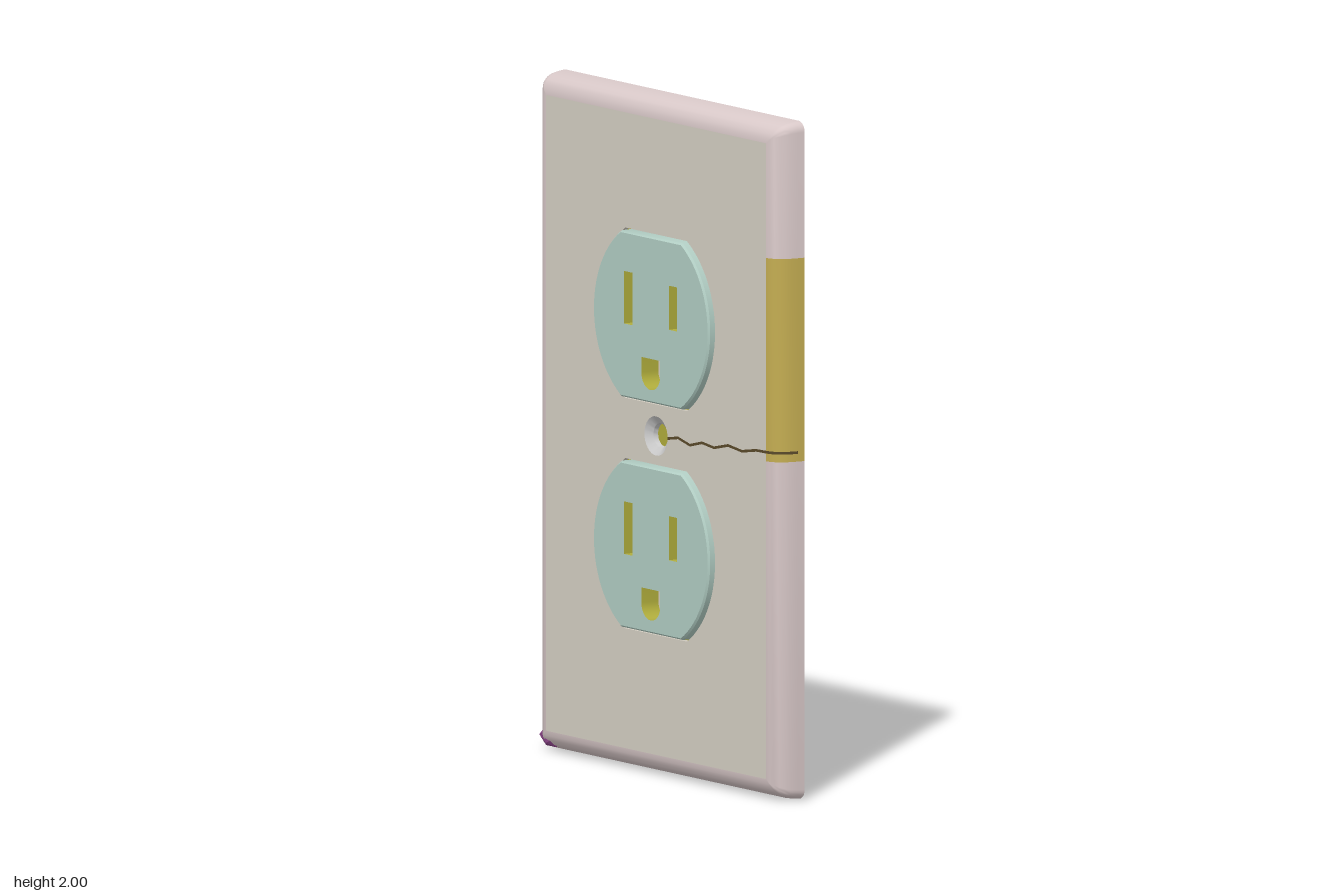
import * as THREE from 'three';
import { toCreasedNormals } from 'three/addons/utils/BufferGeometryUtils.js';

const FRONT = 0.037, BACK = -0.057, FLOOR = 0.02, FACE = 0.056, POCKET = -0.005;
// Outer edge of the plate: [inset, z] from the back rim to the flat front
const EDGE = [[0, BACK], [0.002, -0.035], [0.006, -0.012], [0.012, 0.004], [0.021, 0.018],
  [0.034, 0.029], [0.048, 0.035], [0.062, FRONT]];

const mat = (color) => new THREE.MeshStandardMaterial({ color, side: THREE.DoubleSide });
const beige = mat(0xd6d0c4), pink = mat(0xd8c8c8), mint = mat(0xb2cec4), olive = mat(0xb0ad3c);
const yellow = mat(0xc4ad52), dark = mat(0x5a4a2a), purple = mat(0x8a4488), grey = mat(0xcccccc);

function add(parent, name, geometry, material) {
  const mesh = new THREE.Mesh(geometry, material);
  mesh.name = name;
  parent.add(mesh);
  return mesh;
}

// Skin over rows of points
function loft(rows, closed = true, crease = 0.6) {
  const n = rows[0].length, index = [];
  for (let i = 0; i < rows.length - 1; i++) {
    for (let j = 0; j < (closed ? n : n - 1); j++) {
      const a = i * n + j, b = i * n + (j + 1) % n;
      index.push(a, b, b + n, a, b + n, a + n);
    }
  }
  const g = new THREE.BufferGeometry();
  g.setAttribute('position', new THREE.Float32BufferAttribute(rows.flat(2), 3));
  g.setIndex(index);
  return toCreasedNormals(g, crease);
}

const at = (points, z) => points.map(([x, y]) => [x, y, z]);
const flat = (outline, holes, z) => {
  const toV = (pts) => pts.map(([x, y]) => new THREE.Vector2(x, y));
  const shape = new THREE.Shape(toV(outline));
  shape.holes = holes.map((h) => new THREE.Path(toV(h)));
  return new THREE.ShapeGeometry(shape).translate(0, 0, z);
};

// Arc points, anticlockwise
function arc(cx, cy, r, a0, a1, n) {
  return Array.from({ length: n + 1 }, (_, i) => {
    const a = a0 + (a1 - a0) * i / n;
    return [cx + r * Math.cos(a), cy + r * Math.sin(a)];
  });
}

// Plate outline moved inwards by d
function plateOutline(d) {
  const r = Math.max(0.03 - d * 0.5, 0.004), w = 0.61 - d - r, h = 1 - d - r, q = Math.PI / 2;
  return [[1, 1], [-1, 1], [-1, -1], [1, -1]].flatMap(([sx, sy], k) =>
    arc(sx * w, 1 + sy * h, r, k * q, (k + 1) * q, 6));
}

// Round outline with flat top and bottom
function faceOutline(cy, grow) {
  const r = 0.288 + grow, a = Math.asin((0.245 + grow) / r);
  return [...arc(0, cy, r, -a, a, 28), ...arc(0, cy, r, Math.PI - a, Math.PI + a, 28)];
}

const rect = (cx, cy, w, h) => [[-1, -1], [1, -1], [1, 1], [-1, 1]].map(([x, y]) =>
  [cx + x * w / 2, cy + y * h / 2]);

function createReceptacle(cy) {
  const g = new THREE.Group();
  g.name = 'receptacle';
  const pockets = {
    wideSlot: rect(-0.112, cy + 0.05, 0.042, 0.155),
    narrowSlot: rect(0.11, cy + 0.048, 0.04, 0.13),
    groundHole: [...arc(0, cy - 0.16, 0.047, Math.PI, 2 * Math.PI, 16),
      [0.047, cy - 0.115], [-0.047, cy - 0.115]],
  };
  const holes = Object.values(pockets);
  const outer = faceOutline(cy, 0), inner = faceOutline(cy, -0.005);
  add(g, 'receptacleFace', flat(inner, holes, FACE), mint);
  add(g, 'receptacleSide', loft([at(outer, 0), at(outer, FACE - 0.006), at(inner, FACE)]), mint);
  add(g, 'receptacleBack', flat(outer, holes, 0), mint);
  for (const [name, pts] of Object.entries(pockets)) {
    add(g, name + 'Wall', loft([at(pts, FACE), at(pts, POCKET)]), olive);
    add(g, name + 'Floor', flat(pts, [], POCKET), beige);
  }
  return g;
}

export function createModel() {
  const model = new THREE.Group();
  model.name = 'wallOutlet';
  const centres = [1.347, 0.667];

  // Cover plate: hollow shell with a curved edge
  const plate = new THREE.Group();
  plate.name = 'coverPlate';
  model.add(plate);
  const openings = centres.map((cy) => faceOutline(cy, 0.006));
  const screw = (r) => arc(0, 1.003, r, 0, Math.PI * 2, 32).slice(0, -1);
  add(plate, 'plateFront', flat(plateOutline(0.062), [...openings, screw(0.058)], FRONT), beige);
  add(plate, 'plateInside', flat(plateOutline(0.034), [...openings, screw(0.036)], FLOOR), beige);
  add(plate, 'plateEdge', loft(EDGE.map(([d, z]) => at(plateOutline(d), z))), pink);
  add(plate, 'plateRim', loft([at(plateOutline(0.034), FLOOR), at(plateOutline(0.027), BACK),
    at(plateOutline(0), BACK)]), beige);
  for (const o of openings) add(plate, 'openingWall', loft([at(o, FRONT), at(o, FLOOR)]), beige);
  add(plate, 'screwHole', loft([at(screw(0.058), FRONT), at(screw(0.036), FLOOR),
    at(screw(0.034), 0.005)]), grey);

  // Two receptacles and the sheet behind them
  for (const cy of centres) model.add(createReceptacle(cy));
  add(model, 'backSheet', new THREE.PlaneGeometry(0.885, 1.36).rotateY(Math.PI)
    .translate(0, 1, BACK + 0.001), olive);

  // Stained stretch of the left edge
  const side = EDGE.map(([d, z]) => [0.6105 - d, z + 0.0005]);
  add(model, 'edgeStain', loft([1.0, 1.6].map((y) => side.map(([x, z]) => [x, y, z])), false), yellow);

  // Crack from the screw hole, over the edge
  const path = [[0.058, 1.003], [0.11, 1.012], [0.17, 0.998], [0.23, 1.013], [0.29, 1.006],
    [0.36, 1.022], [0.43, 1.014], [0.5, 1.026]].map(([x, y]) => [x, y, FRONT + 0.001]);
  for (const [x, z] of side.slice(1).reverse()) path.push([x + 0.0008, 1.027, z + 0.0006]);
  add(model, 'crack', loft([-0.004, 0.004].map((w) => path.map(([x, y, z]) => [x, y + w, z])), false), dark);

  // Chipped lower corner
  const chip = add(model, 'chippedCorner', new THREE.IcosahedronGeometry(1, 0), purple.clone());
  chip.material.flatShading = true;
  chip.scale.set(0.05, 0.036, 0.024);
  chip.position.set(-0.559, 0.043, 0.01);
  return model;
}
